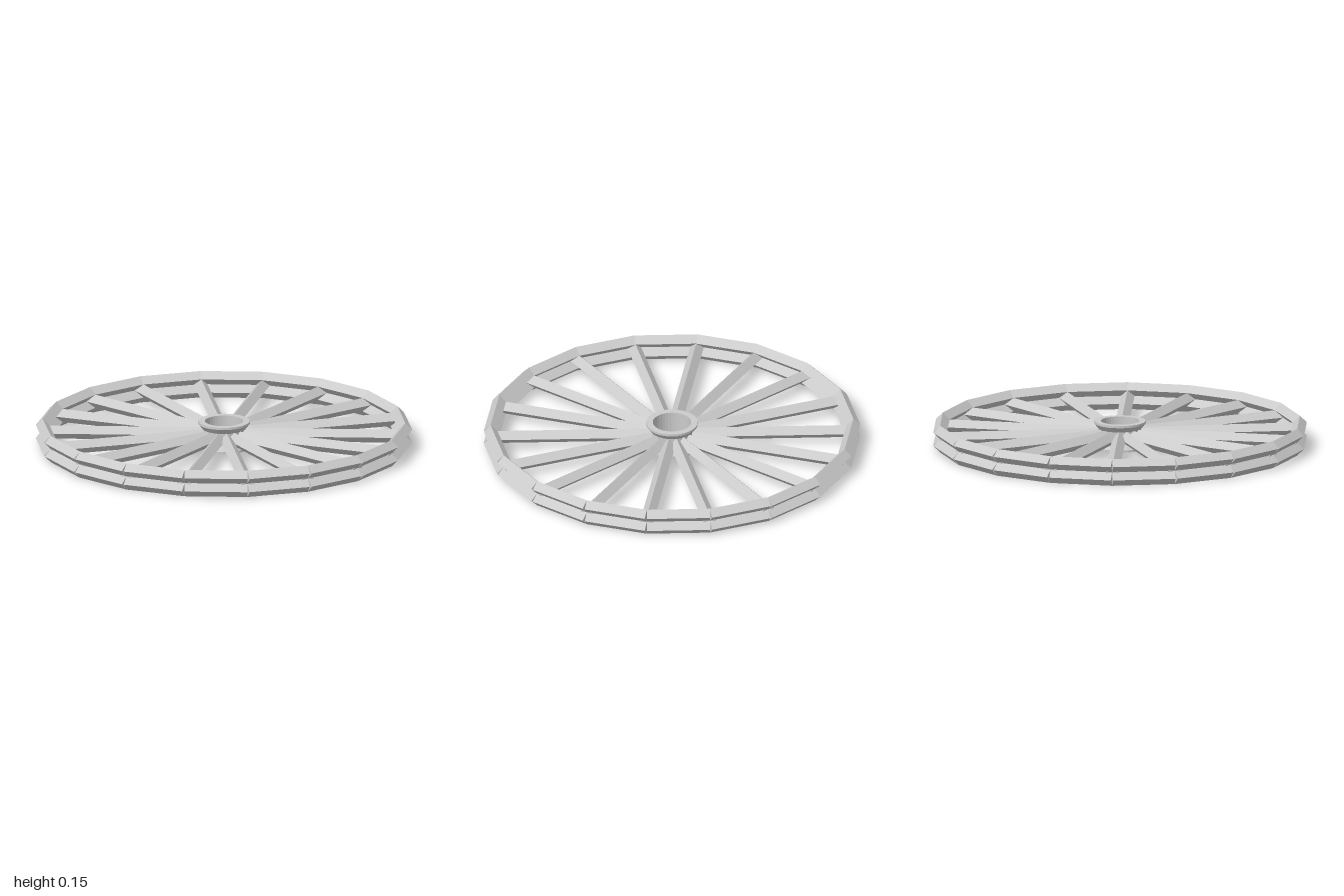
import * as THREE from 'three';

const COUNT = 18;
const STEP = (Math.PI * 2) / COUNT;
const HALF = 0.0363;          // half the diagonal of every square bar
const MID = HALF * 2;         // mid height of the wheel
const CORNER = 0.964;         // radius where rim bars meet the spokes
const HUB_HOLE = 0.102;

export function createModel() {
  const wheel = new THREE.Group();
  wheel.name = 'spokedWheel';
  const material = new THREE.MeshStandardMaterial({ color: 0xcccccc, flatShading: true });

  // Square bar lying along x, standing on its edge
  const barGeometry = (length) =>
    new THREE.CylinderGeometry(HALF, HALF, length, 4).rotateZ(Math.PI / 2);

  const addBar = (group, name, geometry, radius, angle, y, turn) => {
    const bar = new THREE.Mesh(geometry, material);
    bar.name = name;
    bar.position.set(Math.cos(angle) * radius, y, -Math.sin(angle) * radius);
    bar.rotation.y = angle + turn;
    group.add(bar);
  };

  const spokes = new THREE.Group();
  spokes.name = 'spokes';
  const upperRim = new THREE.Group();
  upperRim.name = 'upperRim';
  const lowerRim = new THREE.Group();
  lowerRim.name = 'lowerRim';

  const inner = 0.115;
  const spokeGeometry = barGeometry(CORNER - inner);
  const rimGeometry = barGeometry(2 * CORNER * Math.sin(STEP / 2));
  const rimRadius = CORNER * Math.cos(STEP / 2);

  for (let i = 0; i < COUNT; i++) {
    const a = i * STEP;
    // Spokes sit between the two rims, whose straight bars span spoke to spoke
    addBar(spokes, 'spoke', spokeGeometry, (CORNER + inner) / 2, a, MID, 0);
    addBar(upperRim, 'rimBar', rimGeometry, rimRadius, a + STEP / 2, HALF * 3, Math.PI / 2);
    addBar(lowerRim, 'rimBar', rimGeometry, rimRadius, a + STEP / 2, HALF, Math.PI / 2);
  }

  // Hub: open sleeve with flared top and bottom flanges
  const top = MID * 2;
  const profile = [
    [HUB_HOLE, 0], [0.137, 0], [0.137, 0.012], [0.115, 0.04],
    [0.115, top - 0.04], [0.137, top - 0.012], [0.137, top], [HUB_HOLE, top], [HUB_HOLE, 0],
  ].map(([r, y]) => new THREE.Vector2(r, y));
  const hub = new THREE.Mesh(new THREE.LatheGeometry(profile, 36), material);
  hub.name = 'hub';

  wheel.add(spokes, upperRim, lowerRim, hub);
  return wheel;
}
